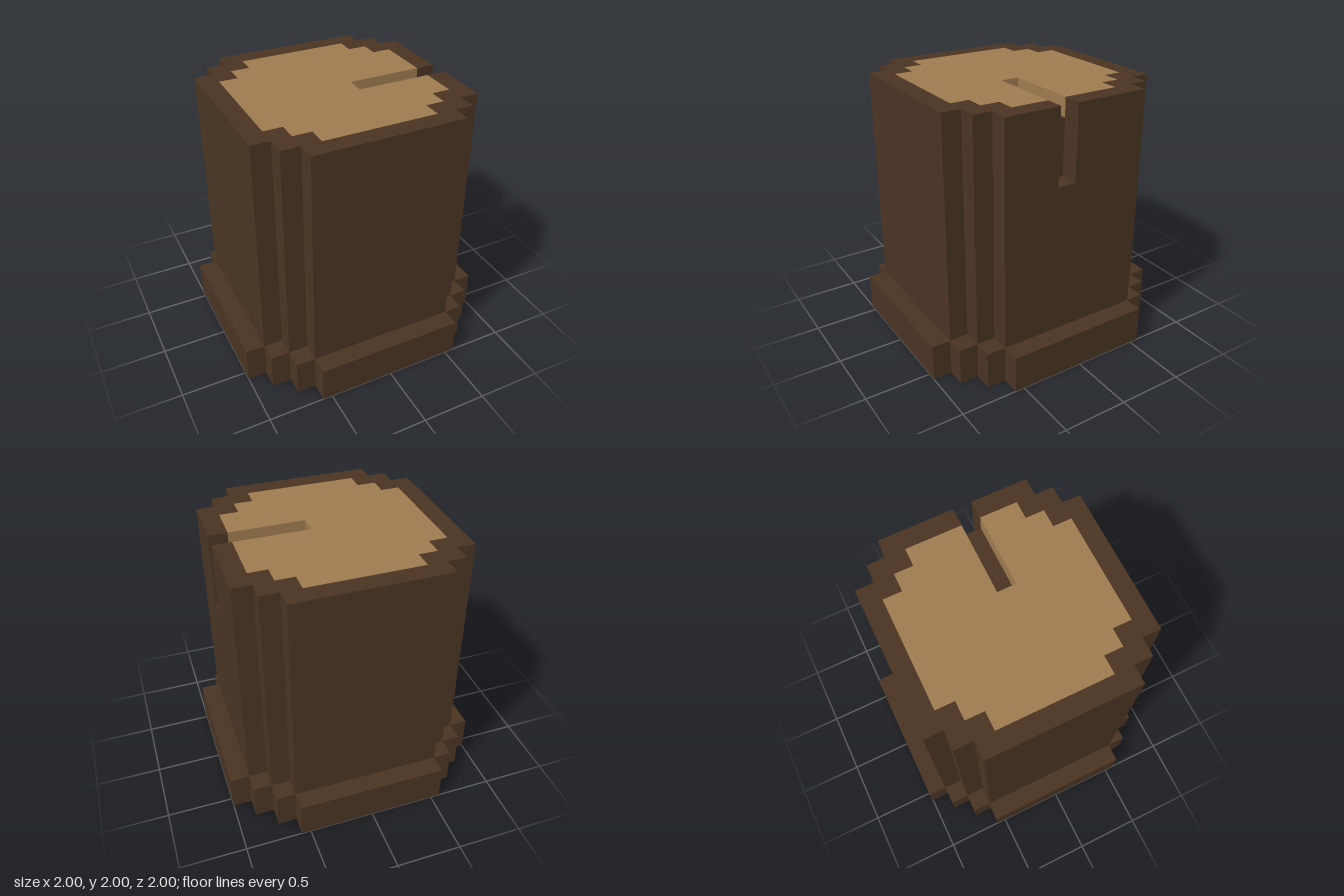
import * as THREE from 'three';

const U = 1 / 7; // one block of the grid the stump is cut from

const bark = new THREE.MeshStandardMaterial({ name: 'bark', color: 0x4a3423 });
const wood = new THREE.MeshStandardMaterial({ name: 'cutWood', color: 0x9e7b4f });

// Stepped round outline, counter-clockwise, reaching n blocks out with flat sides 2 * s long
function ring(n, s) {
  const points = [];
  for (let q = 0; q < 4; q++) {
    const quarter = [[n, s]];
    for (let k = 1; k <= n - s; k++) quarter.push([n - k, s + k - 1], [n - k, s + k]);
    for (let [x, y] of quarter) {
      for (let r = 0; r < q; r++) [x, y] = [-y, x];
      points.push([x, y]);
    }
  }
  return points;
}

// The slot is one block wide and opens towards +x, ending at depth d
const slot = (n, d) => [[n, -1], [d, -1], [d, 0], [n, 0]];

// Upright layer with the given plan, from block height y0 to y1
function layer(name, points, y0, y1, material) {
  const shape = new THREE.Shape(points.map(([x, y]) => new THREE.Vector2(x * U, y * U)));
  const geometry = new THREE.ExtrudeGeometry(shape, { depth: (y1 - y0) * U, bevelEnabled: false });
  geometry.rotateX(-Math.PI / 2);
  geometry.translate(0, y0 * U, 0);
  const mesh = new THREE.Mesh(geometry, material);
  mesh.name = name;
  return mesh;
}

export function createModel() {
  const stump = new THREE.Group();
  stump.name = 'treeStump';
  const core = ring(5, 3);

  stump.add(
    // Flared foot and plain trunk
    layer('rootFlare', ring(7, 4), 0, 2, bark),
    layer('trunk', ring(6, 4), 2, 10, bark),
    // Trunk with the notch running down its side
    layer('notchedTrunk', [...ring(6, 4), ...slot(6, 5)], 10, 13, bark),
    // Open bark rim around the cut wood
    layer('barkRim', [...ring(6, 4), [6, -1], [5, -1], ...core.slice().reverse(), [5, 0], [6, 0]], 13, 14, bark),
    // Cut face with the slot reaching towards the middle
    layer('cutFace', [...core, ...slot(5, 1)], 13, 14, wood),
  );
  return stump;
}
